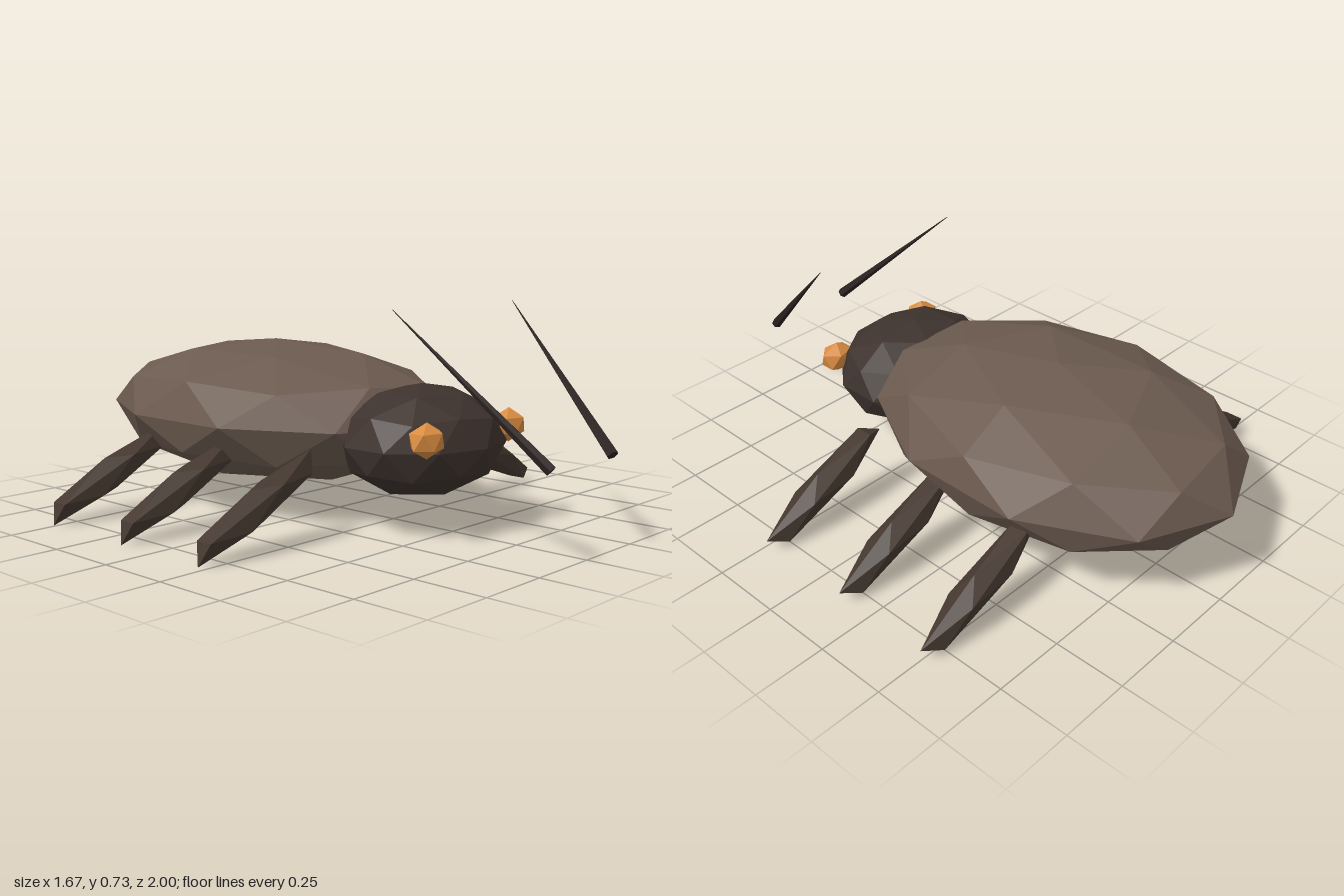
import * as THREE from 'three';

const material = (name, color) => {
  const m = new THREE.MeshStandardMaterial({ color, flatShading: true });
  m.name = name;
  return m;
};

// Icosphere with its poles on the y axis and a vertex of the upper ring on +x
function icosphere(detail) {
  const verts = [0, 1, 0];
  const h = Math.sqrt(0.2), r = 2 * h;
  for (const [y, start] of [[h, 0], [-h, Math.PI / 5]]) {
    for (let k = 0; k < 5; k++) {
      const a = start + k * Math.PI * 0.4;
      verts.push(r * Math.cos(a), y, r * Math.sin(a));
    }
  }
  verts.push(0, -1, 0);
  const faces = [];
  for (let k = 0; k < 5; k++) {
    const n = (k + 1) % 5;
    const u0 = 1 + k, u1 = 1 + n, l0 = 6 + k, l1 = 6 + n;
    faces.push(0, u1, u0, u0, u1, l0, l0, u1, l1, 11, l0, l1);
  }
  return new THREE.PolyhedronGeometry(verts, faces, 1, detail);
}

export function createModel() {
  const model = new THREE.Group();
  model.name = 'beetle';

  const shellBrown = material('shell brown', 0x6b5a4f);
  const headBrown = material('dark head brown', 0x3d322d);
  const legBrown = material('leg brown', 0x44372f);
  const feelerBlack = material('feeler black', 0x2a2220);
  const eyeAmber = material('eye amber', 0xd98c40);

  const coarse = icosphere(0);
  const fine = icosphere(1);
  const midX = -0.012;

  const add = (name, geometry, mat, position, scale) => {
    const mesh = new THREE.Mesh(geometry, mat);
    mesh.name = name;
    mesh.position.set(...position);
    if (scale) mesh.scale.set(...scale);
    model.add(mesh);
    return mesh;
  };

  add('body', fine, shellBrown, [midX, 0.335, -0.3], [0.5, 0.247, 0.7]);
  add('head', fine, headBrown, [midX, 0.295, 0.38], [0.3, 0.185, 0.26]);

  const up = new THREE.Vector3(0, 1, 0);
  for (const [side, s] of [['left', 1], ['right', -1]]) {
    add(side + 'Eye', coarse, eyeAmber, [midX + s * 0.213, 0.34, 0.57], [0.07, 0.057, 0.053]);

    // Tapered feeler, thick at the front and pointed at the raised rear end
    const base = new THREE.Vector3(midX + s * 0.168, 0.297, 0.985);
    const tip = new THREE.Vector3(midX + s * 0.306, 0.738, 0.51);
    const dir = tip.clone().sub(base);
    const feeler = add(side + 'Antenna', new THREE.CylinderGeometry(0.001, 0.019, dir.length(), 6),
      feelerBlack, base.clone().add(tip).multiplyScalar(0.5).toArray());
    feeler.quaternion.setFromUnitVectors(up, dir.normalize());

    // Three legs sloping down and out
    [['Front', 0.22], ['Middle', -0.143], ['Rear', -0.507]].forEach(([row, z]) => {
      const leg = add(side + row + 'Leg', coarse, legBrown, [midX + s * 0.59, 0.148, z], [0.306, 0.059, 0.059]);
      leg.rotation.z = -s * 0.45;
    });
  }
  return model;
}
